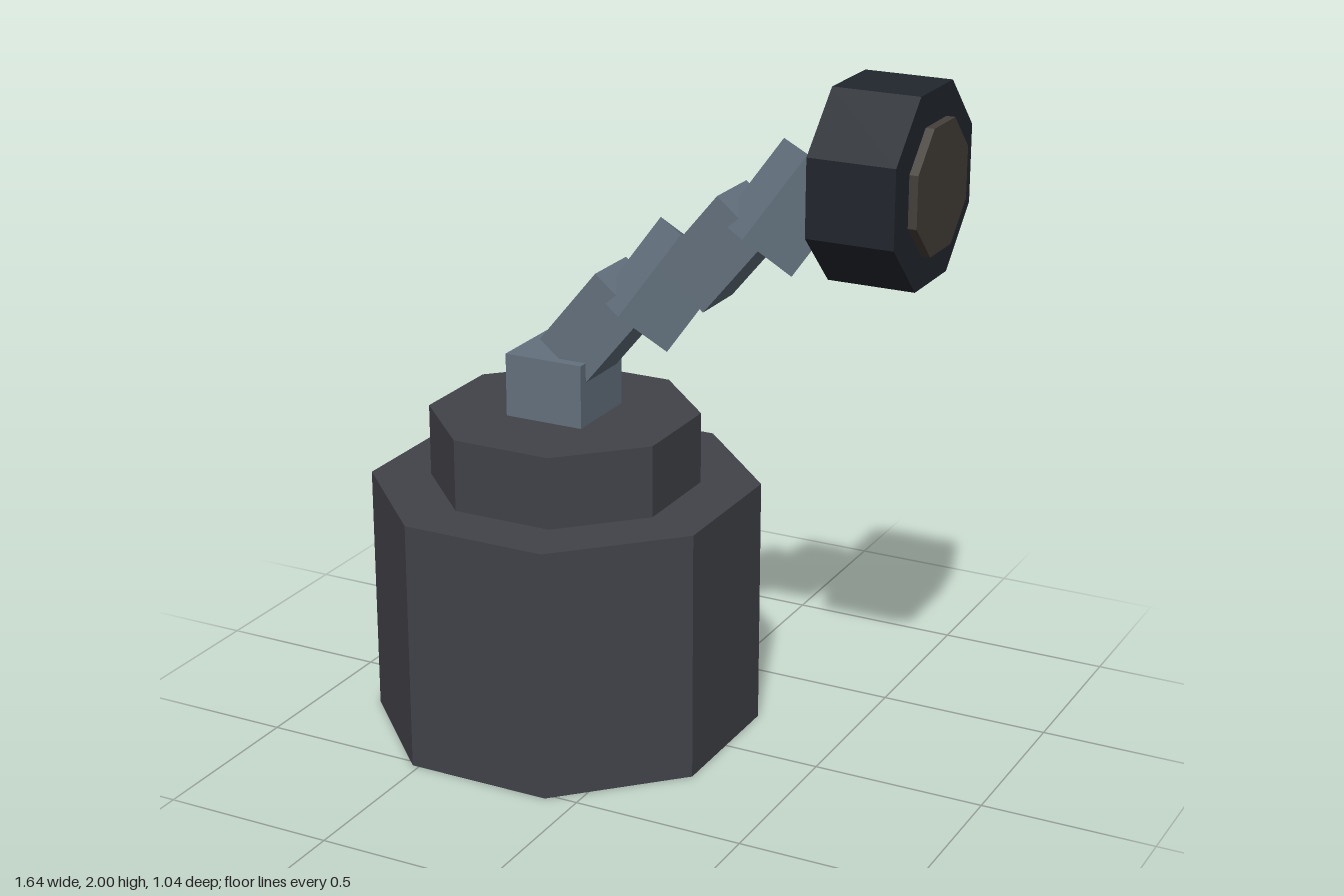
import * as THREE from 'three';

const mat = (color) => new THREE.MeshStandardMaterial({ color, flatShading: true });

export function createModel() {
  const model = new THREE.Group();
  const baseMat = mat(0x42434a);
  const armMat = mat(0x64727f);
  const rimMat = mat(0x22272e);
  const lensMat = mat(0x45403a);

  const add = (name, geometry, material, x, y, z = 0) => {
    const mesh = new THREE.Mesh(geometry, material);
    mesh.name = name;
    mesh.position.set(x, y, z);
    model.add(mesh);
    return mesh;
  };

  // Octagonal prism with flat sides facing the axes
  const octagon = (apothem, height) => {
    const r = apothem / Math.cos(Math.PI / 8);
    return new THREE.CylinderGeometry(r, r, height, 8, 1, false, Math.PI / 8);
  };

  // Stepped base and the block the arm grows from
  const baseX = -0.305;
  add('base', octagon(0.52, 0.735), baseMat, baseX, 0.3675);
  add('baseStep', octagon(0.36, 0.21), baseMat, baseX, 0.84);
  add('armMount', new THREE.BoxGeometry(0.24, 0.24, 0.24), armMat, baseX, 1.01);

  // Leaning arm links, every second one turned by 45 degrees
  const linkGeometry = new THREE.BoxGeometry(0.18, 0.28, 0.18);
  for (let i = 0; i < 4; i++) {
    const link = add(`armLink${i + 1}`, linkGeometry, armMat, -0.172 + i * 0.185, 1.23 + i * 0.134);
    link.rotation.set(0, i % 2 ? Math.PI / 4 : 0, -0.69);
  }

  // Head drum with a thinner core showing at both ends
  const headY = 1.742;
  add('headRim', octagon(0.258, 0.245), rimMat, 0.673, headY).rotation.z = Math.PI / 2;
  add('headCore', octagon(0.17, 0.29), lensMat, 0.675, headY).rotation.z = Math.PI / 2;

  return model;
}
